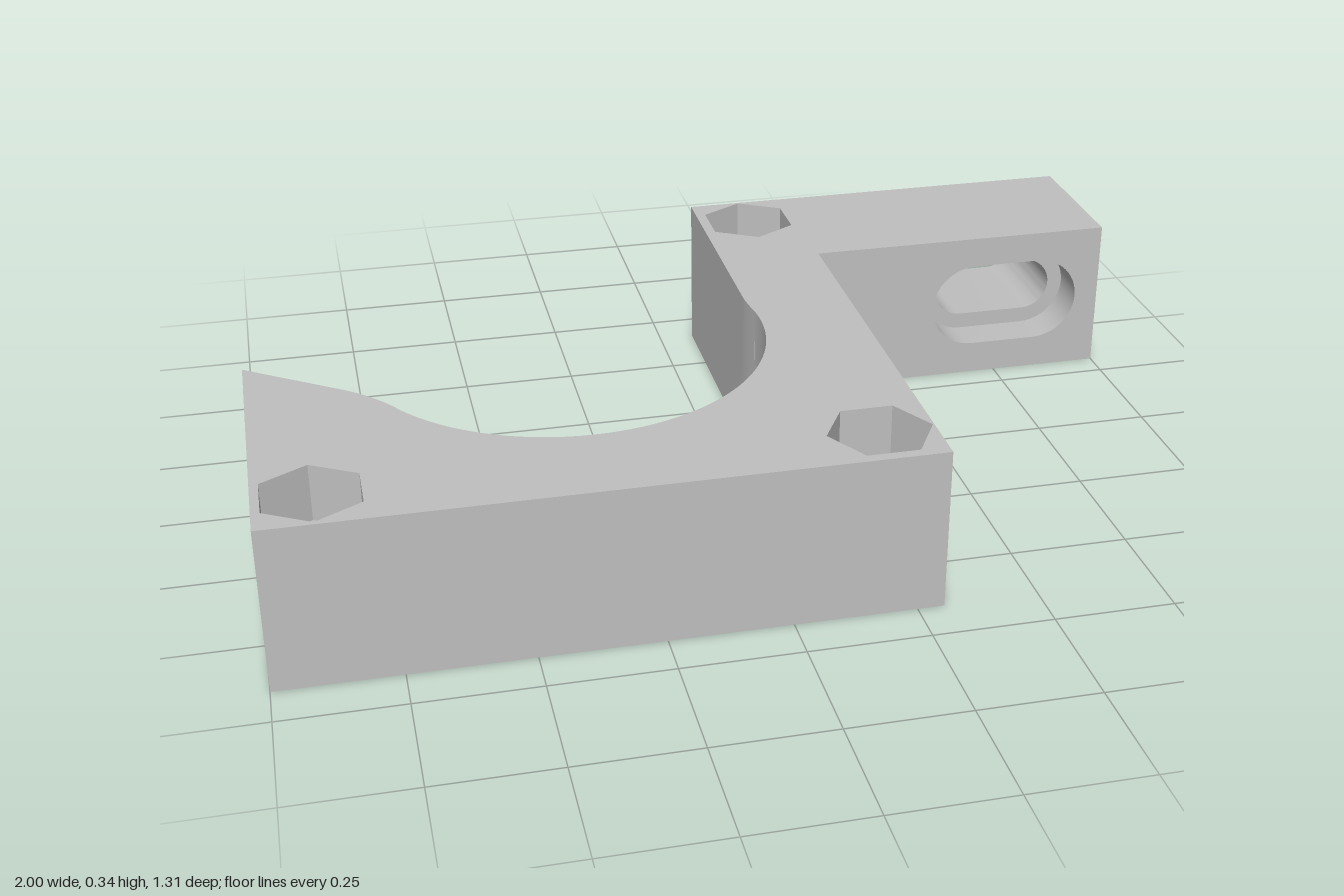
import * as THREE from 'three';
import { toCreasedNormals } from 'three/addons/utils/BufferGeometryUtils.js';

const H = 0.345;                     // block thickness
const FRONT = -0.313, BACK = -0.655; // z of the arm's two long faces
const NUT_DEPTH = 0.12, SLOT_DEPTH = 0.09;

const grey = new THREE.MeshStandardMaterial({ color: 0xbfbfbf });
grey.name = 'grey';

// Regular polygon, counter-clockwise
function ring(cx, cy, r, n, phase = 0) {
  return Array.from({ length: n }, (_, i) => {
    const a = phase + (i / n) * Math.PI * 2;
    return new THREE.Vector2(cx + r * Math.cos(a), cy + r * Math.sin(a));
  });
}

// Rounded slot, counter-clockwise
function slot(x0, x1, y, r) {
  const s = new THREE.Shape();
  s.absarc(x1, y, r, -Math.PI / 2, Math.PI / 2, false);
  s.absarc(x0, y, r, Math.PI / 2, Math.PI * 1.5, false);
  return s.getPoints(12);
}

function rect(x0, x1, y0, y1) {
  return [[x0, y0], [x1, y0], [x1, y1], [x0, y1]].map(p => new THREE.Vector2(...p));
}

// Flat face with holes, at height w, optionally facing backwards
function face(name, outline, holes, w, flip = false) {
  const shape = new THREE.Shape(outline);
  shape.holes = holes.map(h => new THREE.Path(h));
  const g = new THREE.ShapeGeometry(shape);
  if (flip) {
    g.index.array.reverse();
    const n = g.attributes.normal;
    for (let i = 0; i < n.count; i++) n.setZ(i, -1);
  }
  g.translate(0, 0, w);
  return named(name, g);
}

// Wall along a closed loop between two heights; inward for holes
function wall(name, loop, w0, w1, inward = false, skip = []) {
  const pts = inward ? [...loop].reverse() : loop;
  const pos = [];
  pts.forEach((a, i) => {
    if (skip.includes(i)) return;
    const b = pts[(i + 1) % pts.length];
    if (a.distanceTo(b) < 1e-6) return;
    pos.push(a.x, a.y, w0, b.x, b.y, w0, b.x, b.y, w1);
    pos.push(a.x, a.y, w0, b.x, b.y, w1, a.x, a.y, w1);
  });
  const g = new THREE.BufferGeometry();
  g.setAttribute('position', new THREE.Float32BufferAttribute(pos, 3));
  return named(name, toCreasedNormals(g, 0.4));
}

function named(name, geometry) {
  const m = new THREE.Mesh(geometry, grey);
  m.name = name;
  return m;
}

// Plan outline, drawn with v = -z
function planOutline() {
  const rad = THREE.MathUtils.degToRad;
  const s = new THREE.Shape();
  s.moveTo(-1, -0.655);
  s.lineTo(0.305, -0.655);
  s.lineTo(0.305, -FRONT);
  s.lineTo(1, -FRONT);
  s.lineTo(1, -BACK);
  s.lineTo(0.08, -BACK);
  s.lineTo(0.08, 0.12);
  s.quadraticCurveTo(0.08, 0.09, 0.088, 0.038);
  s.absarc(-0.345, 0, 0.435, rad(5), rad(-145), true); // round cradle
  s.quadraticCurveTo(-0.738, -0.188, -0.8, -0.14);
  s.lineTo(-1, 0);
  return s.getPoints(28);
}

export function createModel() {
  const model = new THREE.Group();
  model.name = 'mountingBracket';

  // Body, built in plan and laid flat
  const body = new THREE.Group();
  body.name = 'body';
  body.rotation.x = -Math.PI / 2;
  const outline = planOutline();
  const bolts = [
    { x: 0.195, v: 0.545, turn: Math.PI / 6 },
    { x: -0.89, v: -0.54, turn: Math.PI / 6 },
    { x: 0.195, v: -0.54, turn: 0 },
  ].map(b => ({
    hex: ring(b.x, b.v, 0.107, 6, b.turn),
    bore: ring(b.x, b.v, 0.062, 40),
  }));
  body.add(
    face('topFace', outline, bolts.map(b => b.hex), H),
    face('bottomFace', outline, bolts.map(b => b.bore), 0, true),
    // the arm's front and back walls carry the slot and are made below
    wall('sideWalls', outline, 0, H, false, [2, 4]),
  );

  // Nut pockets with through bores
  for (const { hex, bore } of bolts) {
    body.add(
      wall('nutPocket', hex, H - NUT_DEPTH, H, true),
      face('nutSeat', hex, [bore], H - NUT_DEPTH),
      wall('boltBore', bore, 0, H - NUT_DEPTH, true),
    );
  }

  // Arm faces with the stepped slot
  const arm = new THREE.Group();
  arm.name = 'arm';
  const wide = slot(0.69, 0.845, 0.175, 0.1);
  const narrow = slot(0.69, 0.847, 0.175, 0.063);
  arm.add(
    face('armFront', rect(0.305, 1, 0, H), [wide], FRONT),
    face('armBack', rect(0.08, 1, 0, H), [narrow], BACK, true),
    wall('slotRecess', wide, FRONT - SLOT_DEPTH, FRONT, true),
    face('slotSeat', wide, [narrow], FRONT - SLOT_DEPTH),
    wall('slotBore', narrow, BACK, FRONT - SLOT_DEPTH, true),
  );

  model.add(body, arm);
  return model;
}
